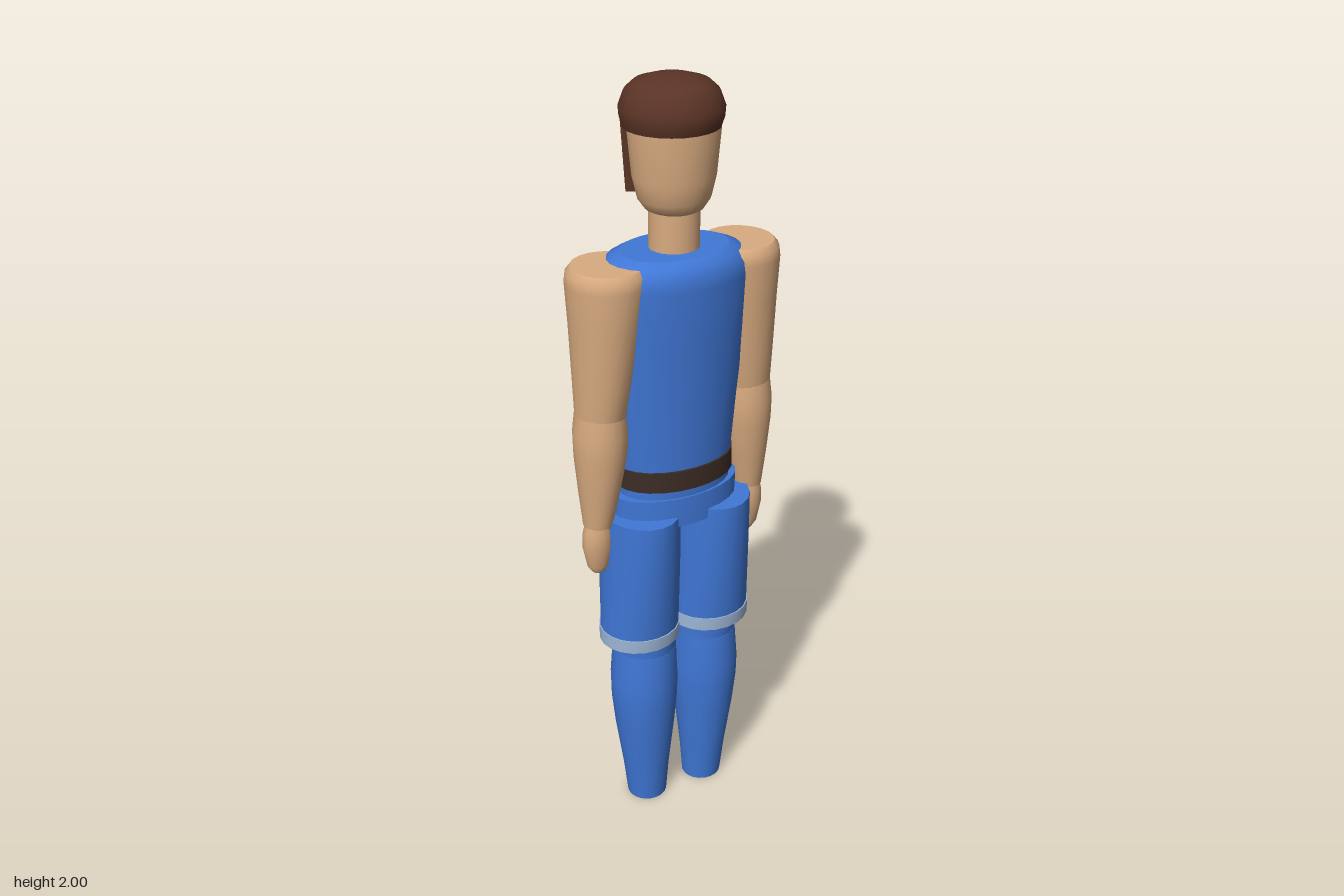
import * as THREE from 'three';

const mat = (name, color) => {
  const m = new THREE.MeshStandardMaterial({ color });
  m.name = name;
  return m;
};

// Capped loft through elliptical sections [y, rx, rz, cx, cz], listed bottom to top
function loft(sections, seg = 20) {
  const pos = [], idx = [];
  const ring = ([y, rx, rz, cx = 0, cz = 0]) => {
    const start = pos.length / 3;
    for (let i = 0; i < seg; i++) {
      const a = (i / seg) * Math.PI * 2;
      pos.push(cx + rx * Math.sin(a), y, cz + rz * Math.cos(a));
    }
    return start;
  };
  const starts = sections.map(ring);
  for (let k = 0; k < starts.length - 1; k++) {
    for (let i = 0; i < seg; i++) {
      const j = (i + 1) % seg;
      const a = starts[k] + i, b = starts[k] + j, c = starts[k + 1] + j, d = starts[k + 1] + i;
      idx.push(a, b, c, a, c, d);
    }
  }
  // caps own their vertices so the rims stay sharp
  [[sections[0], false], [sections[sections.length - 1], true]].forEach(([s, up]) => {
    const r = ring(s);
    const centre = pos.length / 3;
    pos.push(s[3] || 0, s[0], s[4] || 0);
    for (let i = 0; i < seg; i++) {
      const a = r + i, b = r + (i + 1) % seg;
      idx.push(centre, up ? a : b, up ? b : a);
    }
  });
  const g = new THREE.BufferGeometry();
  g.setAttribute('position', new THREE.Float32BufferAttribute(pos, 3));
  g.setIndex(idx);
  g.computeVertexNormals();
  return g;
}

// Curved panel hanging behind the head, drawn in slightly toward its lower end
function hairPanel() {
  const half = 1.05, n = 12, outline = [];
  for (let i = 0; i <= n; i++) {
    const a = -half + (2 * half * i) / n;
    outline.push(new THREE.Vector2(0.125 * Math.sin(a), 0.125 * Math.cos(a)));
  }
  for (let i = n; i >= 0; i--) {
    const a = -half + (2 * half * i) / n;
    outline.push(new THREE.Vector2(0.095 * Math.sin(a), 0.095 * Math.cos(a)));
  }
  const g = new THREE.ExtrudeGeometry(new THREE.Shape(outline), { depth: 0.2, bevelEnabled: false });
  g.rotateX(-Math.PI / 2);
  g.translate(0, 1.73, 0);
  const p = g.attributes.position;
  for (let i = 0; i < p.count; i++) {
    const t = 0.9 + 0.1 * Math.min(1, (p.getY(i) - 1.73) / 0.2);
    p.setX(i, p.getX(i) * t);
    p.setZ(i, p.getZ(i) * t);
  }
  g.computeVertexNormals();
  return g;
}

export function createModel() {
  const skin = mat('skin', 0xd9ab80);
  const blue = mat('blue cloth', 0x4077d6);
  const hair = mat('hair', 0x5a3426);
  const leather = mat('belt leather', 0x3d2c25);
  const trim = mat('hem trim', 0x9fb8d8);

  const model = new THREE.Group();
  model.name = 'figure';
  const add = (parent, name, geometry, material) => {
    const mesh = new THREE.Mesh(geometry, material);
    mesh.name = name;
    parent.add(mesh);
  };

  // Head, hair and neck
  add(model, 'head', loft([
    [1.685, 0.05, 0.05], [1.695, 0.07, 0.07], [1.72, 0.088, 0.084], [1.77, 0.1, 0.095],
    [1.88, 0.111, 0.102], [1.92, 0.108, 0.1],
  ], 24), skin);
  add(model, 'hairCap', loft([
    [1.885, 0.115, 0.114, 0, -0.01], [1.905, 0.121, 0.121, 0, -0.01], [1.93, 0.123, 0.123, 0, -0.01],
    [1.965, 0.11, 0.11, 0, -0.01], [1.985, 0.088, 0.088, 0, -0.01],
    [1.996, 0.052, 0.052, 0, -0.01], [2.0, 0.015, 0.015, 0, -0.01],
  ], 24), hair);
  add(model, 'backHair', hairPanel(), hair);
  add(model, 'neck', loft([[1.57, 0.062, 0.06], [1.7, 0.062, 0.06]]), skin);

  // Trunk
  add(model, 'torso', loft([
    [1.0, 0.152, 0.098], [1.2, 0.17, 0.108], [1.4, 0.19, 0.122], [1.53, 0.2, 0.132],
    [1.56, 0.195, 0.13], [1.585, 0.172, 0.12], [1.598, 0.14, 0.1],
  ], 24), blue);
  add(model, 'belt', loft([[0.995, 0.16, 0.106], [1.05, 0.16, 0.106]], 24), leather);
  add(model, 'waist', loft([[0.96, 0.152, 0.095], [1.0, 0.152, 0.097]], 24), blue);
  add(model, 'hips', loft([[0.89, 0.172, 0.1], [0.97, 0.174, 0.1]], 24), blue);

  // Limbs, built once per side
  for (const s of [1, -1]) {
    const arm = new THREE.Group();
    arm.name = s > 0 ? 'leftArm' : 'rightArm';
    add(arm, 'upperArm', loft([
      [1.2, 0.062, 0.066, s * 0.207], [1.3, 0.072, 0.08, s * 0.199], [1.45, 0.088, 0.094, s * 0.188],
      [1.545, 0.1, 0.103, s * 0.181], [1.57, 0.098, 0.1, s * 0.18], [1.585, 0.086, 0.089, s * 0.18],
    ]), skin);
    add(arm, 'forearm', loft([
      [0.905, 0.037, 0.04, s * 0.221], [1.0, 0.052, 0.056, s * 0.215], [1.1, 0.066, 0.07, s * 0.209],
      [1.16, 0.068, 0.072, s * 0.208], [1.23, 0.06, 0.066, s * 0.207],
    ]), skin);
    add(arm, 'hand', loft([
      [0.765, 0.016, 0.012, s * 0.222], [0.785, 0.03, 0.023, s * 0.222], [0.84, 0.04, 0.033, s * 0.223],
      [0.88, 0.038, 0.034, s * 0.223], [0.915, 0.031, 0.028, s * 0.222],
    ], 16), skin);
    model.add(arm);

    const leg = new THREE.Group();
    leg.name = s > 0 ? 'leftLeg' : 'rightLeg';
    add(leg, 'lowerLeg', loft([
      [0, 0.054, 0.053, s * 0.088], [0.1, 0.063, 0.063, s * 0.09], [0.25, 0.081, 0.082, s * 0.093],
      [0.34, 0.089, 0.091, s * 0.094], [0.4, 0.09, 0.093, s * 0.094], [0.5, 0.084, 0.088, s * 0.092],
    ]), blue);
    add(leg, 'thigh', loft([
      [0.48, 0.083, 0.086, s * 0.091], [0.6, 0.089, 0.092, s * 0.096], [0.88, 0.095, 0.11, s * 0.104],
    ]), blue);
    add(leg, 'shorts', loft([
      [0.54, 0.106, 0.096, s * 0.106], [0.65, 0.104, 0.106, s * 0.105], [0.78, 0.102, 0.117, s * 0.104],
      [0.88, 0.1, 0.123, s * 0.104], [0.917, 0.099, 0.124, s * 0.104],
    ]), blue);
    add(leg, 'shortsHem', loft([
      [0.535, 0.108, 0.099, s * 0.106], [0.573, 0.108, 0.102, s * 0.106],
    ]), trim);
    model.add(leg);
  }
  return model;
}
